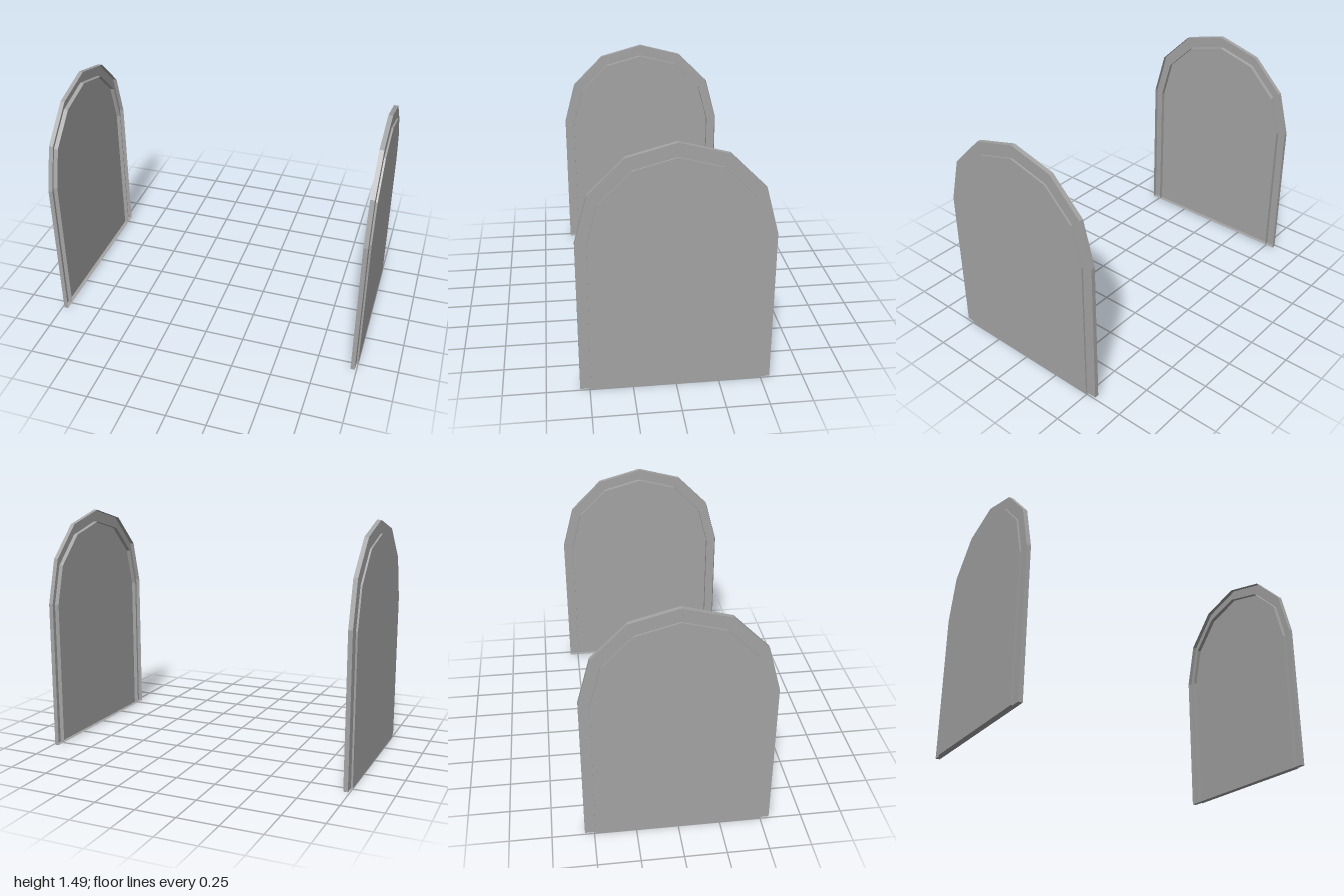
import * as THREE from 'three';

const gray = new THREE.MeshStandardMaterial({ color: 0xa4a4a4, side: THREE.DoubleSide });
gray.name = 'plain gray';

// Arch outline: straight jambs below a six-sided half circle
function archOutline(radius, spring) {
  const points = [new THREE.Vector2(radius, 0)];
  for (let i = 0; i <= 6; i++) {
    const a = (i / 6) * Math.PI;
    points.push(new THREE.Vector2(radius * Math.cos(a), spring + radius * Math.sin(a)));
  }
  points.push(new THREE.Vector2(-radius, 0));
  return points;
}

// Shallow arched tray along x: open at the inner end, closed at the outer end
function archTray(name, radius, spring, inner, outer) {
  const outline = archOutline(radius, spring);
  const tray = new THREE.Group();
  tray.name = name;

  // Rim wall around the whole outline, sill included
  const positions = [];
  outline.forEach((p, i) => {
    const q = outline[(i + 1) % outline.length];
    positions.push(p.x, p.y, inner, q.x, q.y, inner, q.x, q.y, outer);
    positions.push(p.x, p.y, inner, q.x, q.y, outer, p.x, p.y, outer);
  });
  const wall = new THREE.BufferGeometry();
  wall.setAttribute('position', new THREE.Float32BufferAttribute(positions, 3));
  wall.computeVertexNormals();

  // Flat outer face
  const face = new THREE.ShapeGeometry(new THREE.Shape(outline)).translate(0, 0, outer);

  for (const [part, geometry] of [['Rim', wall], ['Face', face]]) {
    const mesh = new THREE.Mesh(geometry.rotateY(Math.PI / 2), gray);
    mesh.name = name + part;
    tray.add(mesh);
  }
  return tray;
}

export function createModel() {
  const model = new THREE.Group();
  model.name = 'archPair';

  // Two matching arches, back to back, facing outward
  for (const [name, turn] of [['leftArch', 0], ['rightArch', Math.PI]]) {
    const arch = new THREE.Group();
    arch.name = name;
    arch.add(archTray('frame', 0.556, 0.937, 0.962, 0.989));
    arch.add(archTray('panel', 0.493, 0.921, 0.962, 1.0));
    arch.rotation.y = turn;
    model.add(arch);
  }
  return model;
}
